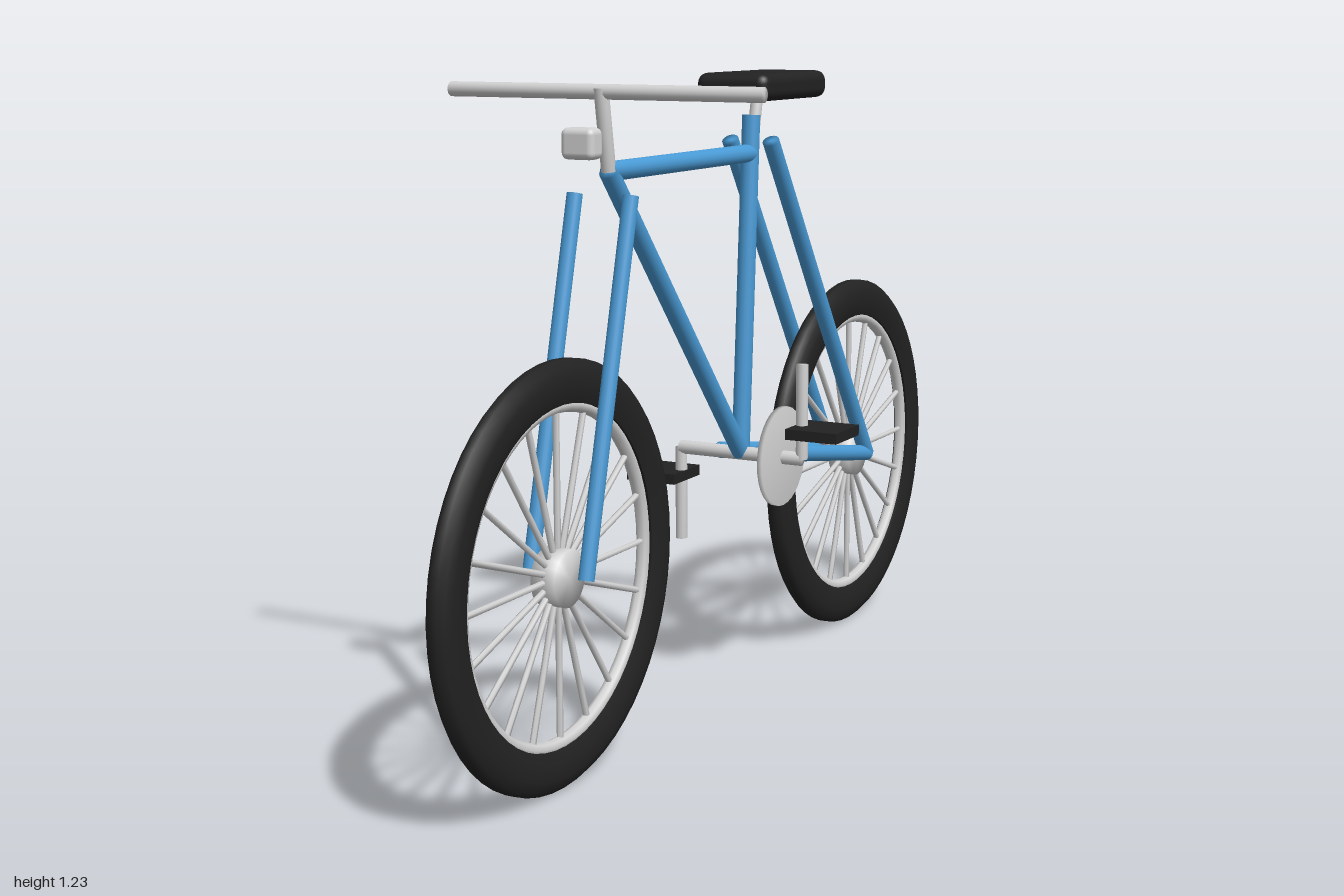
import * as THREE from 'three';
import { mergeVertices } from 'three/addons/utils/BufferGeometryUtils.js';
import { RoundedBoxGeometry } from 'three/addons/geometries/RoundedBoxGeometry.js';

const paint = (name, color) => Object.assign(new THREE.MeshStandardMaterial({ color }), { name });

export function createModel() {
  const bike = new THREE.Group();
  bike.name = 'bicycle';
  const blue = paint('frame blue', 0x4a9bd6);
  const black = paint('rubber black', 0x222222);
  const silver = paint('silver', 0xd2d2d2);

  const add = (parent, name, geometry, material, x = 0, y = 0, z = 0) => {
    const mesh = new THREE.Mesh(geometry, material);
    mesh.name = name;
    mesh.position.set(x, y, z);
    parent.add(mesh);
    return mesh;
  };

  // Cylinder whose caps share soft normals with its side
  const softCylinder = (r, length, sides) => {
    const g = new THREE.CylinderGeometry(r, r, length, sides);
    g.deleteAttribute('normal');
    g.deleteAttribute('uv');
    const soft = mergeVertices(g);
    soft.computeVertexNormals();
    return soft;
  };

  // Round bar between two points
  const up = new THREE.Vector3(0, 1, 0);
  const bar = (parent, name, from, to, r, material, sides = 16) => {
    const a = new THREE.Vector3(...from);
    const b = new THREE.Vector3(...to);
    const mid = a.clone().add(b).multiplyScalar(0.5);
    const mesh = add(parent, name, softCylinder(r, a.distanceTo(b), sides), material, mid.x, mid.y, mid.z);
    mesh.quaternion.setFromUnitVectors(up, b.sub(a).normalize());
    return mesh;
  };

  // Wheels: tyre, rim, hub and spokes around the x axis
  const R = 0.383;
  const axleZ = 0.617;
  const tyreProfile = [
    [0.306, -0.016], [0.328, -0.024], [0.355, -0.024], [0.373, -0.018], [R, -0.008],
    [R, 0.008], [0.373, 0.018], [0.355, 0.024], [0.328, 0.024], [0.306, 0.016], [0.306, -0.016],
  ].map(([r, x]) => new THREE.Vector2(r, x));
  for (const [name, z] of [['frontWheel', axleZ], ['rearWheel', -axleZ]]) {
    const wheel = new THREE.Group();
    wheel.name = name;
    wheel.position.set(0, R, z);
    add(wheel, 'tyre', new THREE.LatheGeometry(tyreProfile, 56), black).rotation.z = Math.PI / 2;
    add(wheel, 'rim', new THREE.TorusGeometry(0.302, 0.013, 8, 56), silver).rotation.y = Math.PI / 2;
    bar(wheel, 'hub', [-0.024, 0, 0], [0.024, 0, 0], 0.052, silver, 24);
    for (let i = 0; i < 20; i++) {
      const a = (i / 20) * Math.PI * 2;
      const c = Math.cos(a), s = Math.sin(a);
      bar(wheel, 'spoke', [0, c * 0.03, s * 0.03], [0, c * 0.3, s * 0.3], 0.006, silver, 6);
    }
    bike.add(wheel);
  }

  // Frame tubes
  const bracket = [0, 0.477, -0.087];
  const head = [0, 1.075, 0.43];
  bar(bike, 'topTube', head, [0, 1.075, -0.127], 0.018, blue);
  bar(bike, 'downTube', head, bracket, 0.018, blue);
  bar(bike, 'seatTube', bracket, [0, 1.15, -0.131], 0.018, blue);
  for (const side of [-1, 1]) {
    const x = 0.045 * side;
    bar(bike, 'seatStay', [x, 1.1, -0.128], [x, R, -axleZ], 0.017, blue);
    bar(bike, 'chainStay', [x, bracket[1], bracket[2]], [x, R, -axleZ], 0.017, blue);
    bar(bike, 'forkLeg', [0.057 * side, 1.036, 0.452], [0.057 * side, R, axleZ], 0.0145, blue);
  }

  // Saddle and its post
  bar(bike, 'seatPost', [0, 1.1, -0.138], [0, 1.2, -0.16], 0.012, silver);
  add(bike, 'saddle', new RoundedBoxGeometry(0.156, 0.054, 0.287, 3, 0.02), black, 0, 1.207, -0.182);

  // Stem, handlebar and lamp
  bar(bike, 'stem', head, [0, 1.222, 0.454], 0.0135, silver);
  bar(bike, 'handlebar', [-0.315, 1.215, 0.45], [0.315, 1.215, 0.45], 0.0135, silver);
  add(bike, 'lamp', new RoundedBoxGeometry(0.066, 0.055, 0.042, 3, 0.012), silver, 0, 1.129, 0.521);

  // Crankset: axle, chainring, opposed arms and pedals
  const [, cy, cz] = bracket;
  bar(bike, 'crankAxle', [-0.136, cy - 0.002, cz], [0.136, cy - 0.002, cz], 0.014, silver);
  bar(bike, 'chainring', [0.086, cy, cz], [0.096, cy, cz], 0.1, silver, 32);
  for (const side of [-1, 1]) {
    const x = 0.136 * side;
    bar(bike, 'crankArm', [x, cy - 0.002, cz], [x, cy - 0.002 + 0.191 * side, cz], 0.012, silver);
    add(bike, 'pedal', new THREE.BoxGeometry(0.11, 0.021, 0.11), black, 0.179 * side, cy - 0.002 + 0.058 * side, cz - 0.002);
  }
  return bike;
}
